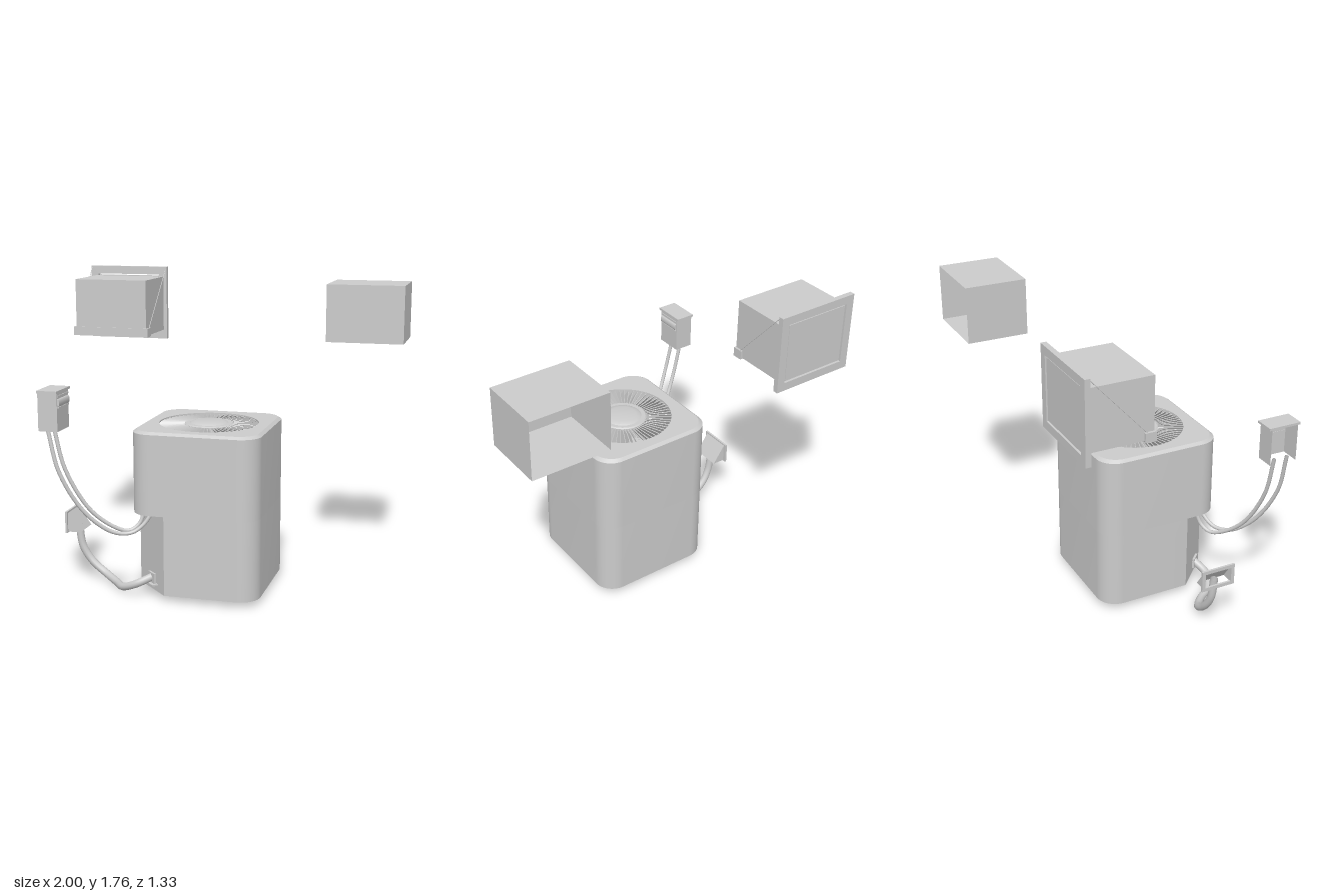
import * as THREE from 'three';
import { toCreasedNormals } from 'three/addons/utils/BufferGeometryUtils.js';

const mat = new THREE.MeshStandardMaterial({ color: 0xcccccc, side: THREE.DoubleSide });

function add(parent, name, geo, x = 0, y = 0, z = 0) {
  const m = new THREE.Mesh(geo, mat);
  m.name = name;
  m.position.set(x, y, z);
  parent.add(m);
  return m;
}

function group(parent, name, x = 0, y = 0, z = 0) {
  const g = new THREE.Group();
  g.name = name;
  g.position.set(x, y, z);
  parent.add(g);
  return g;
}

// Box given by its min and max corners
function span(parent, name, x0, x1, y0, y1, z0, z1) {
  return add(parent, name, new THREE.BoxGeometry(x1 - x0, y1 - y0, z1 - z0),
    (x0 + x1) / 2, (y0 + y1) / 2, (z0 + z1) / 2);
}

// Box shell without some of its faces (0..5 = +x -x +y -y +z -z)
function openBox(w, h, d, missing) {
  const g = new THREE.BoxGeometry(w, h, d);
  const idx = [...g.index.array].filter((_, i) => !missing.includes(Math.floor(i / 6)));
  g.setIndex(idx);
  g.clearGroups();
  return g;
}

// Rectangular frame, extruded along z and centred
function frame(w, h, iw, ih, depth) {
  const rect = (a, b, P) => new P([[-a, -b], [a, -b], [a, b], [-a, b]].map(p => new THREE.Vector2(...p)));
  const s = rect(w / 2, h / 2, THREE.Shape);
  s.holes.push(rect(iw / 2, ih / 2, THREE.Path));
  return new THREE.ExtrudeGeometry(s, { depth, bevelEnabled: false }).translate(0, 0, -depth / 2);
}

function pipe(parent, name, pts, r) {
  const curve = new THREE.CatmullRomCurve3(pts.map(p => new THREE.Vector3(...p)));
  return add(parent, name, new THREE.TubeGeometry(curve, 40, r, 12));
}

// Cabinet plan: rounded square, its front right corner optionally cut diagonally
const H = 0.36, R = 0.115, CUT = 0.2, TOP = 0.95;
function plan(cut, k = 1) {
  const h = H * k, r = R * k, c = cut ? CUT : r, q = Math.PI / 2;
  const s = new THREE.Shape();
  s.moveTo(-h + c, -h);
  s.lineTo(h - r, -h);
  s.absarc(h - r, -h + r, r, -q, 0);
  s.lineTo(h, h - r);
  s.absarc(h - r, h - r, r, 0, q);
  s.lineTo(-h + r, h);
  s.absarc(-h + r, h - r, r, q, 2 * q);
  s.lineTo(-h, -h + c);
  if (cut) s.lineTo(-h + c, -h);
  else s.absarc(-h + r, -h + r, r, 2 * q, 3 * q);
  return s;
}

// Wall along a plan between two heights, its upper edge scaled by k
function skin(shape, y0, y1, k = 1) {
  const all = shape.getPoints(8), pos = [];
  const a = all.filter((p, i) => p.distanceTo(all[(i + 1) % all.length]) > 1e-5);
  a.forEach((p, i) => {
    const n = a[(i + 1) % a.length];
    const A = [p.x, y0, -p.y], B = [n.x, y0, -n.y];
    const C = [n.x * k, y1, -n.y * k], D = [p.x * k, y1, -p.y * k];
    pos.push(...A, ...B, ...C, ...A, ...C, ...D);
  });
  const g = new THREE.BufferGeometry();
  g.setAttribute('position', new THREE.Float32BufferAttribute(pos, 3));
  return toCreasedNormals(g, 0.45);
}

const flat = shape => new THREE.ShapeGeometry(shape, 48).rotateX(-Math.PI / 2);

function buildCabinet(root) {
  const g = group(root, 'outdoorUnit', -0.03, 0, 0.09);
  add(g, 'lowerCabinet', skin(plan(true), 0.035, 0.485));
  add(g, 'upperCabinet', skin(plan(false), 0.485, 0.938));
  add(g, 'topBevel', skin(plan(false), 0.938, 0.952, TOP));

  // Underside over the cut corner
  const ledge = new THREE.Shape();
  ledge.moveTo(-H + CUT, -H);
  ledge.lineTo(-H, -H + CUT);
  ledge.lineTo(-H, -H + R);
  ledge.absarc(-H + R, -H + R, R, Math.PI, Math.PI * 1.5);
  add(g, 'cornerLedge', flat(ledge), 0, 0.485, 0);

  // Top plate with the fan opening
  const top = plan(false, TOP);
  top.holes.push(new THREE.Path().absarc(0, 0, 0.28, 0, Math.PI * 2, true));
  add(g, 'topPlate', flat(top), 0, 0.952, 0);
  add(g, 'fanRim', new THREE.CylinderGeometry(0.28, 0.28, 0.06, 48, 1, true), 0, 0.922, 0);

  // Tilted radial fins of the grille
  const fins = group(g, 'fanGrille', 0, 0.925, 0);
  const fin = new THREE.BoxGeometry(0.148, 0.05, 0.004).rotateX(0.55).translate(0.207, 0, 0);
  for (let i = 0; i < 64; i++) add(fins, 'fin', fin).rotation.y = i * Math.PI / 32;

  const hub = [[0.138, 0.9], [0.138, 0.947], [0.13, 0.952], [0.108, 0.952], [0.1, 0.957], [0.075, 0.963], [0, 0.963]];
  add(g, 'fanHub', toCreasedNormals(
    new THREE.LatheGeometry(hub.map(p => new THREE.Vector2(...p)), 40), 0.5));
}

function buildWallVent(root) {
  const g = group(root, 'wallSleeve');
  add(g, 'sleeveBox', new THREE.BoxGeometry(0.443, 0.33, 0.355), -0.748, 1.54, -0.468);
  add(g, 'flange', frame(0.495, 0.445, 0.4, 0.35, 0.03), -0.753, 1.542, -0.65);
  add(g, 'backPanel', new THREE.BoxGeometry(0.385, 0.335, 0.02), -0.753, 1.542, -0.65);
  // Support rail wrapping the lower front edge
  span(g, 'railFront', -0.985, -0.515, 1.37, 1.42, -0.292, -0.285);
  span(g, 'railFloor', -0.985, -0.515, 1.368, 1.375, -0.335, -0.285);
  for (const s of [-1, 1]) {
    const x = -0.75 + s * 0.228;
    span(g, 'railEnd', x - 0.007, x + 0.007, 1.37, 1.42, -0.345, -0.285);
    pipe(g, 'tieRod', [[-0.753 + s * 0.242, 1.755, -0.637], [x, 1.395, -0.31]], 0.002);
  }
}

function buildSwitchBox(root) {
  const g = group(root, 'switchBox');
  add(g, 'housing', openBox(0.11, 0.21, 0.16, [1, 3]), -0.765, 1.075, 0.569);
  span(g, 'lid', -0.82, -0.705, 1.178, 1.191, 0.474, 0.664);
  span(g, 'slotTop', -0.712, -0.706, 1.155, 1.165, 0.495, 0.643);
  span(g, 'slotBottom', -0.712, -0.704, 1.095, 1.103, 0.495, 0.643);
  const handle = new THREE.CylinderGeometry(0.022, 0.022, 0.146, 16, 1, false, 0, Math.PI);
  handle.rotateX(Math.PI / 2).scale(0.5, 1, 1);
  add(g, 'handle', handle, -0.71, 1.125, 0.569);

  // Two conduits hanging down to the cut corner
  pipe(g, 'conduit', [[-0.78, 0.98, 0.62], [-0.72, 0.74, 0.618], [-0.6, 0.51, 0.56],
    [-0.47, 0.39, 0.485], [-0.38, 0.378, 0.435], [-0.32, 0.42, 0.405], [-0.275, 0.487, 0.385]], 0.011);
  pipe(g, 'conduit', [[-0.78, 0.98, 0.54], [-0.72, 0.74, 0.535], [-0.6, 0.51, 0.488],
    [-0.48, 0.4, 0.425], [-0.41, 0.375, 0.385], [-0.36, 0.41, 0.355], [-0.335, 0.487, 0.335]], 0.011);
}

function buildLineSet(root) {
  const g = group(root, 'refrigerantLine');
  pipe(g, 'insulatedLine', [[-0.285, 0.11, 0.365], [-0.37, 0.07, 0.395], [-0.46, 0.033, 0.36],
    [-0.53, 0.023, 0.27], [-0.62, 0.045, 0.2], [-0.71, 0.11, 0.187], [-0.765, 0.2, 0.192],
    [-0.785, 0.33, 0.195]], 0.022);
  const plate = add(g, 'linePlate', new THREE.BoxGeometry(0.07, 0.06, 0.012), -0.285, 0.107, 0.37);
  plate.rotation.y = -Math.PI / 4;
  const foot = add(g, 'plateFoot', new THREE.BoxGeometry(0.07, 0.008, 0.05), -0.273, 0.075, 0.38);
  foot.rotation.y = -Math.PI / 4;

  // Wall cover: frame, sloped hood and two triangular cheeks
  add(g, 'coverFrame', frame(0.2, 0.125, 0.16, 0.085, 0.012).rotateY(Math.PI / 2), -0.826, 0.362, 0.193);
  const hood = new THREE.PlaneGeometry(0.17, Math.hypot(0.075, 0.11));
  hood.rotateX(-Math.atan2(0.075, 0.11)).rotateY(Math.PI / 2);
  add(g, 'hoodSlope', hood, -0.7825, 0.36, 0.195);
  const cheek = new THREE.Shape([[-0.82, 0.305], [-0.745, 0.305], [-0.82, 0.415]].map(p => new THREE.Vector2(...p)));
  for (const z of [0.11, 0.28]) add(g, 'hoodCheek', new THREE.ShapeGeometry(cheek), 0, 0, z);
}

export function createModel() {
  const root = new THREE.Group();
  root.name = 'airConditioningSet';
  buildCabinet(root);
  buildWallVent(root);
  buildSwitchBox(root);
  buildLineSet(root);
  // Indoor recess box, open at the back
  add(root, 'recessBox', openBox(0.445, 0.33, 0.36, [5]), 0.777, 1.54, -0.485);
  return root;
}
